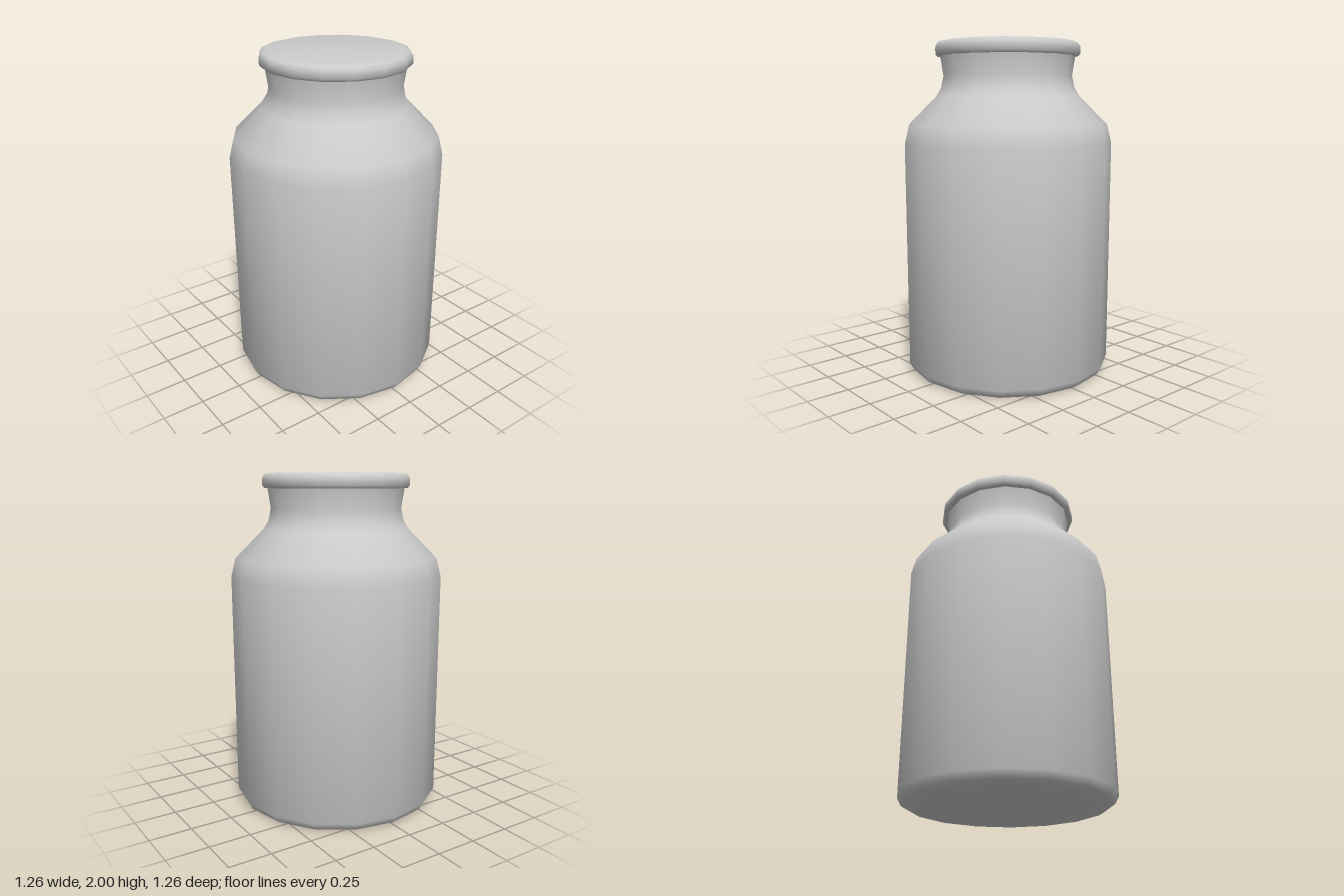
import * as THREE from 'three';
import { toCreasedNormals } from 'three/addons/utils/BufferGeometryUtils.js';

const SIDES = 16;

// Revolves a [radius, height] profile listed from bottom to top
function turned(name, profile, material, crease) {
  const points = profile.map(([r, y]) => new THREE.Vector2(r, y));
  const geometry = toCreasedNormals(new THREE.LatheGeometry(points, SIDES), crease);
  const mesh = new THREE.Mesh(geometry, material);
  mesh.name = name;
  return mesh;
}

export function createModel() {
  const group = new THREE.Group();
  group.name = 'jar';
  const material = new THREE.MeshStandardMaterial({ color: 0xcccccc });

  // Base, straight wall, sloping shoulder and flared neck
  group.add(turned('body', [
    [0, 0], [0.575, 0], [0.605, 0.018], [0.628, 0.06],
    [0.632, 1.4], [0.605, 1.51],
    [0.435, 1.68], [0.405, 1.73], [0.39, 1.8], [0.408, 1.92],
  ], material, 0.8));

  // Flat lid with a rounded rim that overhangs the neck
  group.add(turned('lid', [
    [0, 1.915], [0.425, 1.915], [0.438, 1.93],
    [0.438, 1.97], [0.425, 1.993], [0.4, 2], [0, 2],
  ], material, 0.9));

  return group;
}
